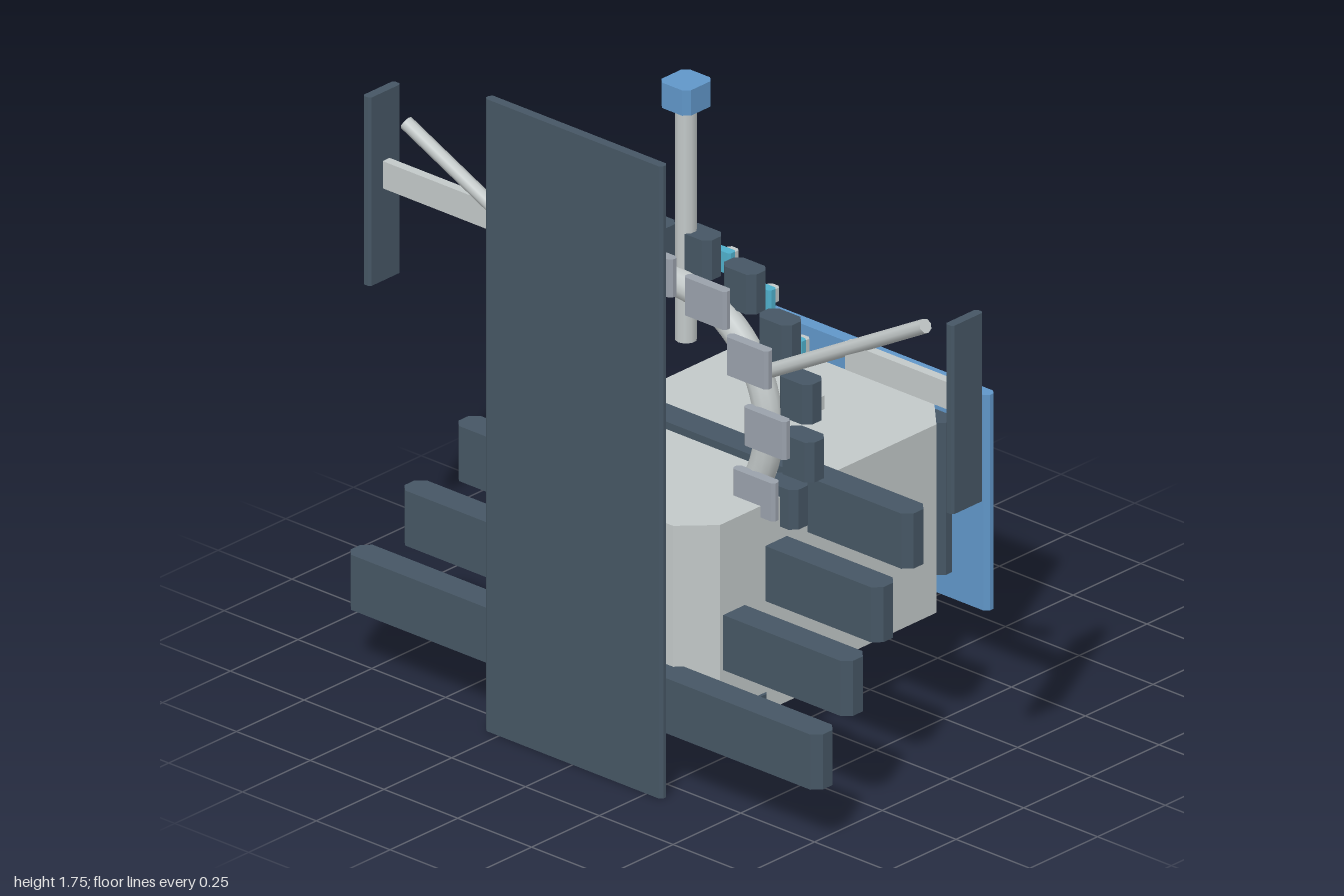
import * as THREE from 'three';

export function createModel() {
  const model = new THREE.Group();
  model.name = 'spaceStation';

  const mat = (name, color) => {
    const m = new THREE.MeshStandardMaterial({ color });
    m.name = name;
    return m;
  };
  const light = mat('lightGrey', 0xc2c8c8);
  const dark = mat('darkSlate', 0x465664);
  const blue = mat('panelBlue', 0x6096c8);
  const cyan = mat('windowCyan', 0x4fafcb);
  const mid = mat('midGrey', 0x9aa1ab);

  const add = (name, geometry, material, parent = model) => {
    const mesh = new THREE.Mesh(geometry, material);
    mesh.name = name;
    parent.add(mesh);
    return mesh;
  };
  const group = (name) => {
    const g = new THREE.Group();
    g.name = name;
    model.add(g);
    return g;
  };

  // Upright block with cut vertical corners, given by its limits
  const block = (name, material, [x0, x1], [y0, y1], [z0, z1], cut, parent = model) => {
    const w = (x1 - x0) / 2, d = (z1 - z0) / 2;
    const shape = new THREE.Shape([
      [w, -d + cut], [w, d - cut], [w - cut, d], [-w + cut, d],
      [-w, d - cut], [-w, -d + cut], [-w + cut, -d], [w - cut, -d],
    ].map(([x, y]) => new THREE.Vector2(x, y)));
    const geo = new THREE.ExtrudeGeometry(shape, { depth: y1 - y0, bevelEnabled: false });
    geo.rotateX(-Math.PI / 2);
    const mesh = add(name, geo, material, parent);
    mesh.position.set((x0 + x1) / 2, y0, (z0 + z1) / 2);
    return mesh;
  };
  // Block centred on a point
  const blockAt = (name, material, x, y, z, w, h, d, cut, parent) =>
    block(name, material, [x - w / 2, x + w / 2], [y - h / 2, y + h / 2],
      [z - d / 2, z + d / 2], cut, parent);

  // Main body, tall front panel and rear panels
  block('body', light, [-0.34, 0.34], [0.19, 0.71], [-0.48, 0.485], 0.083);
  block('frontPanel', dark, [-0.3, 0.3], [0, 1.745], [0.55, 0.576], 0.008);
  block('rearFrame', dark, [-0.28, 0.28], [0.24, 0.66], [-0.54, -0.478], 0.02);
  block('rearPanel', blue, [-0.38, 0.38], [0.155, 0.75], [-0.576, -0.54], 0.012);

  // Four cross bars stepping up toward the back, each with a strip behind
  const bars = group('crossBars');
  for (let i = 0; i < 4; i++) {
    const w = 0.8 - 0.04 * i, s = 0.6 - 0.042 * i;
    const y = 0.245 + 0.1365 * i, z = 0.506 - 0.1555 * i;
    block('crossBar', dark, [-w, w], [y - 0.076, y + 0.076], [z - 0.04, z + 0.04], 0.022, bars);
    block('barStrip', cyan, [-s, s], [y - 0.054, y + 0.054], [z - 0.066, z - 0.04], 0.008, bars);
  }

  // Ring arch on the roof
  const cy = 0.89, rad = Math.PI / 180;
  const onRing = (deg, r) => [r * Math.cos(deg * rad), cy + r * Math.sin(deg * rad)];
  const ring = group('ring');
  const arch = add('arch', new THREE.TorusGeometry(0.31, 0.038, 12, 48, 260 * rad), light, ring);
  arch.rotation.z = -40 * rad;
  arch.position.set(0, cy, 0.19);

  // Pods around the arch, each with a window and a knob behind
  for (let i = 0; i < 11; i++) {
    const a = 23.3 * i;
    const [px, py] = onRing(a - 32, 0.39);
    const [wx, wy] = onRing(a - 38, 0.37);
    blockAt('pod', dark, px, py, 0.145, 0.11, 0.11, 0.07, 0.018, ring);
    blockAt('podWindow', cyan, wx, wy, 0.098, 0.062, 0.058, 0.026, 0.006, ring);
    blockAt('podKnob', light, wx, wy, 0.071, 0.036, 0.037, 0.03, 0.008, ring);
  }

  // Plates on the front of the arch
  for (let i = 0; i < 8; i++) {
    const [x, y] = onRing(-27 + 30.7 * i, 0.35);
    blockAt('archPlate', mid, x, y, 0.238, 0.142, 0.105, 0.028, 0.008, ring);
  }

  // Mast with a cap
  const mast = add('mast', new THREE.CylinderGeometry(0.028, 0.028, 0.66, 10), light);
  mast.position.set(0, 1.36, 0.157);
  blockAt('mastCap', blue, 0, 1.71, 0.157, 0.1, 0.07, 0.104, 0.016);

  // Side booms with end panels and slanted struts
  for (const s of [1, -1]) {
    const boom = group(s > 0 ? 'leftBoom' : 'rightBoom');
    blockAt('boomBeam', light, s * 0.783, 1.193, 0.203, 0.386, 0.075, 0.026, 0.003, boom);
    blockAt('endPanel', dark, s * 0.987, 1.16, 0.205, 0.026, 0.52, 0.115, 0.006, boom);
    const from = new THREE.Vector3(s * 0.3, 1.045, 0.18);
    const to = new THREE.Vector3(s * 0.88, 1.373, 0.232);
    const dir = to.clone().sub(from);
    const strut = add('strut', new THREE.CylinderGeometry(0.019, 0.019, dir.length(), 8), light, boom);
    strut.position.copy(from).add(to).multiplyScalar(0.5);
    strut.quaternion.setFromUnitVectors(new THREE.Vector3(0, 1, 0), dir.normalize());
  }

  // Underside box with a row of small pods
  block('bellyBox', light, [-0.23, 0.23], [0.06, 0.2], [-0.02, 0.18], 0.004);
  const belly = group('bellyPods');
  for (let i = 0; i < 4; i++) {
    blockAt('bellyPod', dark, -0.195 + 0.13 * i, 0.083, 0.157, 0.11, 0.076, 0.085, 0.018, belly);
  }

  return model;
}
